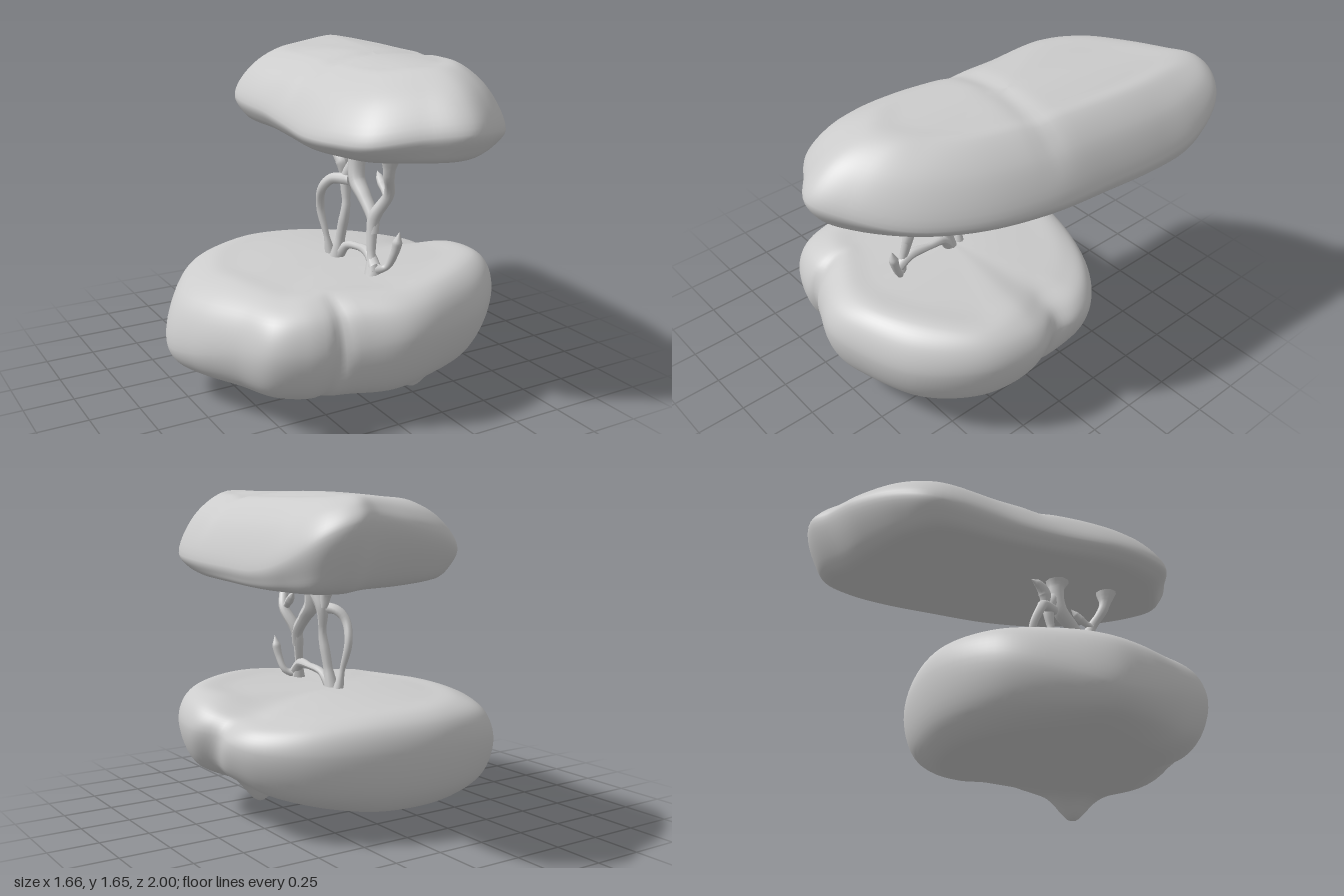
import * as THREE from 'three';

const material = new THREE.MeshStandardMaterial({ color: 0xcccccc });
const V = (p) => new THREE.Vector3(...p);

// Point between two others with separate sideways and vertical fractions
const blend = (a, b, side, up) => new THREE.Vector3(
  THREE.MathUtils.lerp(a.x, b.x, side), THREE.MathUtils.lerp(a.y, b.y, up), THREE.MathUtils.lerp(a.z, b.z, side));

// Smooth rock lofted through three closed rings (bottom, widest, top) and two centre points.
// Rings run right, front, left, back. "bulge" rounds the sides, "shape" nudges points to add folds.
function rock(name, under, girth, crown, low, high, bulge, shape) {
  const U = 144, W = 60;
  const rings = [under, girth, crown].map((r) => new THREE.CatmullRomCurve3(r.map(V), true));
  const lo = V(low), hi = V(high);
  const pos = [], index = [];
  for (let i = 0; i < U; i++) {
    const [a, b, c] = rings.map((r) => r.getPoint(i / U));
    const column = new THREE.CatmullRomCurve3([
      lo, blend(a, lo, 0.65, 0.88), blend(a, lo, 0.25, 0.44), a,
      blend(b, a, ...bulge), b, blend(b, c, ...bulge),
      c, blend(c, hi, 0.25, 0.44), blend(c, hi, 0.65, 0.88), hi,
    ]);
    for (let j = 0; j <= W; j++) {
      const p = column.getPoint(j / W);
      shape(p);
      pos.push(p.x, p.y, p.z);
      if (j < W) {
        const k = i * (W + 1) + j, n = ((i + 1) % U) * (W + 1) + j;
        index.push(k, k + 1, n, n, k + 1, n + 1);
      }
    }
  }
  const geo = new THREE.BufferGeometry();
  geo.setAttribute('position', new THREE.Float32BufferAttribute(pos, 3));
  geo.setIndex(index);
  geo.computeVertexNormals();
  const mesh = new THREE.Mesh(geo, material);
  mesh.name = name;
  return mesh;
}

// Root with a radius that varies evenly along its path
function root(name, points, radii) {
  const curve = new THREE.CatmullRomCurve3(points.map(V));
  const n = 32, sides = 10;
  const geo = new THREE.TubeGeometry(curve, n, 1, sides);
  const pos = geo.attributes.position, p = new THREE.Vector3();
  for (let i = 0; i <= n; i++) {
    const c = curve.getPointAt(i / n);
    const t = (i / n) * (radii.length - 1), k = Math.min(Math.floor(t), radii.length - 2);
    const r = THREE.MathUtils.lerp(radii[k], radii[k + 1], t - k);
    for (let j = 0; j <= sides; j++) {
      const v = i * (sides + 1) + j;
      p.fromBufferAttribute(pos, v).sub(c).multiplyScalar(r).add(c);
      pos.setXYZ(v, p.x, p.y, p.z);
    }
  }
  geo.computeVertexNormals();
  const mesh = new THREE.Mesh(geo, material);
  mesh.name = name;
  return mesh;
}

const bump = (d, width) => Math.exp(-((d / width) ** 2));

export function createModel() {
  const model = new THREE.Group();
  model.name = 'balancedRocks';

  // Lower boulder, with a point hanging under its front right
  const lowerUnder = [
    [0.5, 0.19, 0], [0.54, 0.2, 0.2], [0.48, 0.16, 0.38], [0.32, 0.11, 0.46], [0.17, 0.105, 0.53], [0, 0.105, 0.6],
    [-0.2, 0.115, 0.56], [-0.4, 0.125, 0.53], [-0.5, 0.13, 0.46], [-0.57, 0.13, 0.3], [-0.64, 0.13, 0.13], [-0.67, 0.13, -0.03],
    [-0.59, 0.125, -0.18], [-0.42, 0.12, -0.36], [-0.17, 0.12, -0.46], [0.12, 0.12, -0.43], [0.34, 0.14, -0.3], [0.45, 0.16, -0.15],
  ];
  const lowerGirth = [
    [0.75, 0.47, 0], [0.79, 0.48, 0.22], [0.73, 0.48, 0.47], [0.5, 0.45, 0.72], [0.2, 0.45, 0.84], [0, 0.45, 0.86],
    [-0.25, 0.4, 0.76], [-0.45, 0.4, 0.72], [-0.6, 0.4, 0.63], [-0.68, 0.37, 0.43], [-0.79, 0.3, 0.18], [-0.83, 0.27, -0.03],
    [-0.74, 0.32, -0.24], [-0.54, 0.4, -0.48], [-0.2, 0.43, -0.6], [0.15, 0.43, -0.57], [0.5, 0.43, -0.43], [0.69, 0.44, -0.23],
  ];
  const lowerCrown = [
    [0.58, 0.575, 0], [0.65, 0.635, 0.2], [0.64, 0.65, 0.42], [0.45, 0.66, 0.6], [0.2, 0.655, 0.72], [0, 0.64, 0.72],
    [-0.25, 0.63, 0.6], [-0.4, 0.62, 0.56], [-0.48, 0.61, 0.48], [-0.53, 0.61, 0.32], [-0.57, 0.61, 0.15], [-0.59, 0.6, -0.03],
    [-0.53, 0.6, -0.2], [-0.4, 0.6, -0.38], [-0.17, 0.6, -0.5], [0.13, 0.595, -0.47], [0.4, 0.58, -0.34], [0.54, 0.57, -0.17],
  ];
  model.add(rock('lowerBoulder', lowerUnder, lowerGirth, lowerCrown, [-0.05, 0.1, 0.05], [0, 0.635, 0.1], [0.3, 0.68], (p) => {
    // upright fold on the front, slanting hollow on the right flank, hanging point
    if (p.z > 0.4) p.z -= 0.025 * bump(p.x + 0.3 - 0.1 * (p.y - 0.4), 0.035) * Math.min(1, (p.z - 0.4) / 0.2);
    if (p.x > 0.4) p.x -= 0.035 * bump(p.z - 0.02 - 0.6 * (0.5 - p.y), 0.09) * Math.min(1, (p.x - 0.4) / 0.2);
    if (p.y < 0.3) p.y -= 0.115 * bump(Math.hypot(p.x - 0.29, p.z - 0.43), 0.1) * Math.min(1, (0.3 - p.y) / 0.15);
  }));

  // Upper slab: flat underside, domed top, back end leaning outward
  const upperUnder = [
    [0.77, 1.23, -0.2], [0.73, 1.235, 0.13], [0.64, 1.245, 0.43], [0.5, 1.26, 0.68], [0.34, 1.27, 0.85],
    [0.18, 1.27, 0.92], [0.01, 1.26, 0.82], [-0.13, 1.25, 0.68], [-0.19, 1.25, 0.52], [-0.21, 1.245, 0.34],
    [-0.17, 1.24, 0.05], [-0.14, 1.24, -0.2], [-0.11, 1.235, -0.55], [0.04, 1.235, -0.68], [0.27, 1.23, -0.76],
    [0.47, 1.23, -0.81], [0.61, 1.225, -0.87], [0.72, 1.225, -0.84], [0.78, 1.225, -0.68], [0.79, 1.225, -0.48],
  ];
  const upperGirth = [
    [0.8, 1.3, -0.2], [0.78, 1.31, 0.15], [0.7, 1.32, 0.48], [0.55, 1.34, 0.75], [0.36, 1.38, 0.92],
    [0.18, 1.4, 1], [0, 1.38, 0.9], [-0.19, 1.34, 0.76], [-0.26, 1.33, 0.58], [-0.28, 1.32, 0.36],
    [-0.23, 1.32, 0.05], [-0.2, 1.33, -0.2], [-0.18, 1.36, -0.61], [-0.01, 1.42, -0.77], [0.25, 1.47, -0.89],
    [0.47, 1.5, -0.94], [0.62, 1.5, -1], [0.75, 1.44, -0.93], [0.82, 1.34, -0.72], [0.82, 1.3, -0.5],
  ];
  const upperCrown = [
    [0.62, 1.59, -0.2], [0.58, 1.6, 0.12], [0.52, 1.61, 0.38], [0.43, 1.62, 0.55], [0.33, 1.63, 0.66],
    [0.22, 1.63, 0.7], [0.12, 1.62, 0.64], [0.03, 1.6, 0.55], [0, 1.59, 0.42], [0, 1.585, 0.25],
    [0.02, 1.58, 0.03], [0.03, 1.58, -0.2], [0.03, 1.58, -0.5], [0.12, 1.585, -0.66], [0.3, 1.59, -0.78],
    [0.47, 1.6, -0.85], [0.57, 1.6, -0.89], [0.63, 1.59, -0.83], [0.65, 1.585, -0.67], [0.65, 1.585, -0.48],
  ];
  model.add(rock('upperSlab', upperUnder, upperGirth, upperCrown, [0.3, 1.222, 0], [0.3, 1.63, 0], [0.38, 0.62], (p) => {
    // shallow crease across the top
    if (p.y > 1.4) p.y -= 0.015 * bump(p.z - 0.02 - 0.1 * p.x, 0.06) * Math.min(1, (p.y - 1.4) / 0.15);
  }));

  // Branching roots that hold the slab up
  const roots = new THREE.Group();
  roots.name = 'roots';
  roots.add(
    root('frontRoot', [[0.07, 1.27, 0.54], [0.07, 1.14, 0.52], [0.11, 1.02, 0.46], [0.07, 0.9, 0.4], [0.05, 0.78, 0.41], [0.03, 0.62, 0.45]],
      [0.07, 0.03, 0.024, 0.028, 0.032, 0.026, 0.02, 0.04]),
    root('frontTwig', [[0.1, 1.02, 0.46], [0.11, 1.05, 0.41], [0.12, 1.11, 0.34]], [0.02, 0.018, 0.022, 0.018, 0]),
    root('middleRoot', [[0.08, 1.28, 0.23], [0.08, 1.16, 0.22], [0.07, 1.05, 0.24], [0.07, 0.98, 0.31], [0.07, 0.89, 0.39], [0.06, 0.82, 0.41]],
      [0.09, 0.045, 0.042, 0.04, 0.033, 0.03, 0.025]),
    root('middleLeg', [[0.08, 1.13, 0.21], [0.06, 1.04, 0.16], [0.05, 0.9, 0.17], [0.04, 0.78, 0.15], [0.03, 0.62, 0.12]],
      [0.035, 0.032, 0.02, 0.026, 0.024, 0.04]),
    root('backLeg', [[0.06, 1.04, 0.19], [0.01, 1.03, 0.1], [-0.02, 0.98, 0.06], [-0.01, 0.87, 0.02], [0.01, 0.72, 0.05], [0.03, 0.61, 0.06]],
      [0.03, 0.026, 0.022, 0.02, 0.014, 0.03]),
    root('middleTwig', [[0.06, 1.04, 0.14], [0.05, 1.12, 0.13], [0.04, 1.16, 0.09], [0.04, 1.18, 0.04]], [0.02, 0.026, 0.033, 0.028, 0.02, 0]),
    root('lowRoot', [[0.04, 0.67, 0.46], [0.05, 0.72, 0.39], [0.06, 0.72, 0.28], [0.05, 0.7, 0.18], [0.03, 0.63, 0.12]],
      [0.03, 0.026, 0.018, 0.02, 0.035]),
    root('lowTwig', [[0.03, 0.65, 0.45], [0.09, 0.67, 0.48], [0.11, 0.75, 0.52], [0.12, 0.86, 0.545]], [0.025, 0.016, 0.018, 0.02, 0.024, 0]),
  );
  model.add(roots);
  return model;
}
